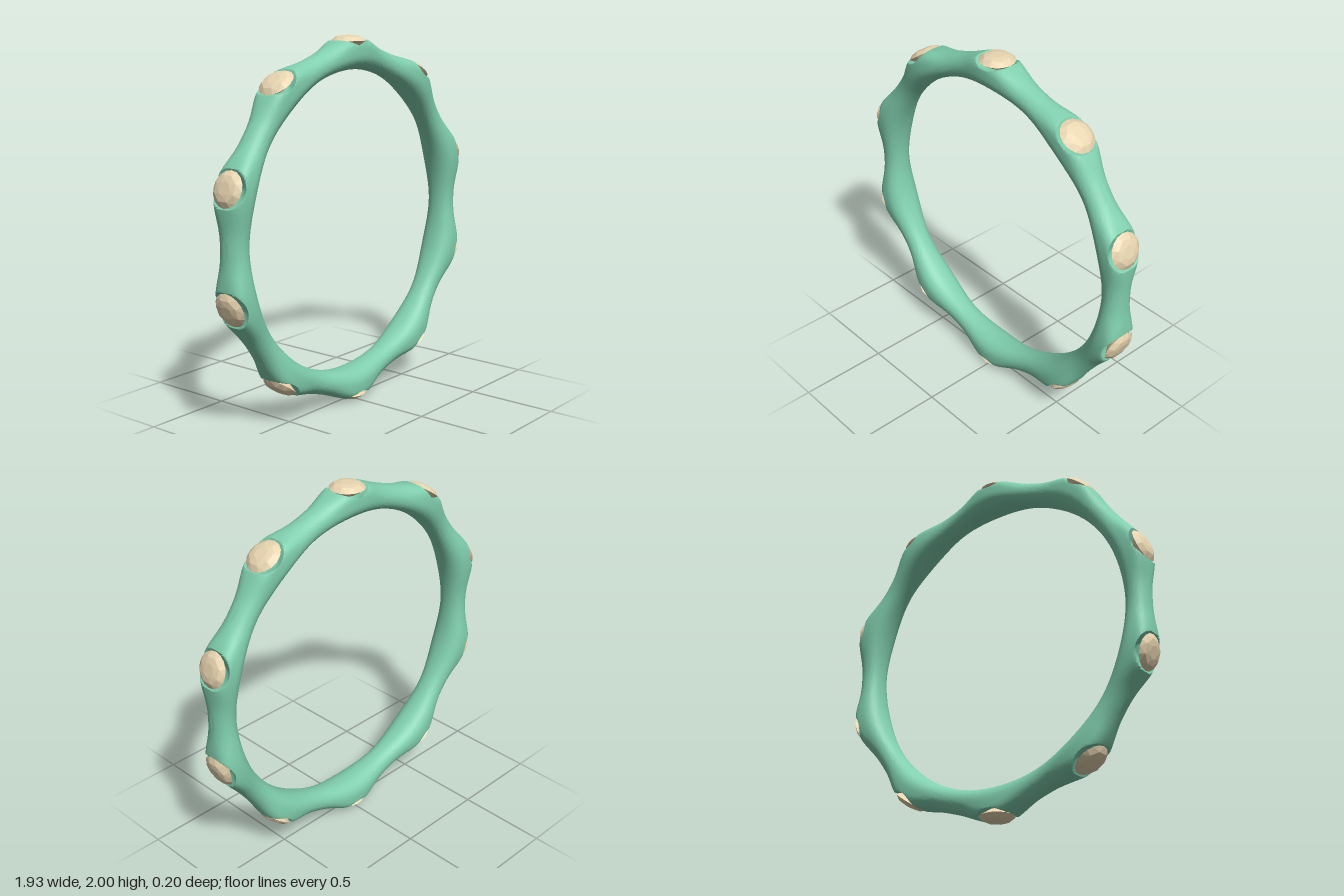
import * as THREE from 'three';
import { toCreasedNormals } from 'three/addons/utils/BufferGeometryUtils.js';
import { ConvexGeometry } from 'three/addons/geometries/ConvexGeometry.js';

const GEMS = 10, STEP = Math.PI * 2 / GEMS, SIDES = 48;
const INNER = 0.82;
const spow = (v, p) => Math.sign(v) * Math.pow(Math.abs(v), p);

// Angles across one sector, denser around the gem seat
function sectorAngles() {
  const list = [];
  for (let i = 0; i < 10; i++) list.push(-STEP / 2 + (STEP / 2 - 0.12) * i / 10);
  for (let i = 0; i < 28; i++) list.push(-0.12 + 0.24 * i / 28);
  for (let i = 0; i < 10; i++) list.push(0.12 + (STEP / 2 - 0.12) * i / 10);
  return list;
}

// Band swept round the ring: swells at every gem and is scooped out for its seat
function bandGeometry() {
  const pos = [], index = [], angles = sectorAngles();
  for (let k = 0; k < GEMS; k++) {
    for (const phi of angles) {
      const c = (1 + Math.cos(phi * GEMS)) / 2;
      const outer = 0.95 + 0.044 * Math.pow(c, 1.2);
      const width = 0.075 + 0.025 * c;
      const mid = (INNER + outer) / 2, half = (outer - INNER) / 2;
      const theta = Math.PI / 2 + k * STEP + phi;
      for (let j = 0; j < SIDES; j++) {
        const a = j / SIDES * Math.PI * 2;
        const u = Math.cos(a), v = Math.sin(a);
        const p = 2 / (u > 0 ? 2 + 1.8 * c * c : 2.2);
        let r = mid + half * spow(u, p);
        const z = width * spow(v, p);
        const d = Math.hypot(r * Math.sin(phi), 0.6 * z);
        if (u > 0 && d < 0.096) {
          const f = THREE.MathUtils.clamp((d - 0.04) / 0.055, 0, 1);
          r = Math.min(r, 0.932 + 0.043 * f);
        }
        pos.push(r * Math.cos(theta), r * Math.sin(theta), z);
      }
    }
  }
  const rings = GEMS * angles.length;
  for (let i = 0; i < rings; i++) {
    const n = (i + 1) % rings;
    for (let j = 0; j < SIDES; j++) {
      const m = (j + 1) % SIDES;
      const a = i * SIDES + j, b = n * SIDES + j, e = n * SIDES + m, f = i * SIDES + m;
      index.push(a, f, b, b, f, e);
    }
  }
  const g = new THREE.BufferGeometry();
  g.setAttribute('position', new THREE.Float32BufferAttribute(pos, 3));
  g.setIndex(index);
  // Make sure the surface faces outwards
  g.computeVertexNormals();
  const probe = Math.floor(5) * SIDES;
  const nrm = g.attributes.normal, P = g.attributes.position;
  if (nrm.getX(probe) * P.getX(probe) + nrm.getY(probe) * P.getY(probe) < 0) {
    g.setIndex(index.reverse());
  }
  return toCreasedNormals(g, 0.7);
}

// Faceted gem along +y: table, crown, girdle and cut-off pavilion
function gemGeometry() {
  const pts = [];
  const levels = [[0.036, 1.0, 8, 0], [0.07, 0.993, 8, 0.5], [0.095, 0.972, 16, 0], [0.045, 0.938, 8, 0]];
  for (const [r, y, n, turn] of levels) {
    for (let i = 0; i < n; i++) {
      const a = (i + turn) / n * Math.PI * 2;
      pts.push(new THREE.Vector3(r * Math.cos(a), y, r * Math.sin(a)));
    }
  }
  return new ConvexGeometry(pts);
}

export function createModel() {
  const model = new THREE.Group();
  model.name = 'gemRing';
  const bandMat = new THREE.MeshStandardMaterial({ color: 0x80cfae });
  const gemMat = new THREE.MeshStandardMaterial({ color: 0xe8d5b0, flatShading: true });

  const band = new THREE.Mesh(bandGeometry(), bandMat);
  band.name = 'band';
  band.position.y = 1;
  model.add(band);

  // Gems spaced evenly round the band
  const gemGeo = gemGeometry();
  for (let k = 0; k < GEMS; k++) {
    const gem = new THREE.Mesh(gemGeo, gemMat);
    gem.name = 'gem' + (k + 1);
    gem.position.y = 1;
    gem.rotation.z = k * STEP;
    model.add(gem);
  }
  return model;
}
